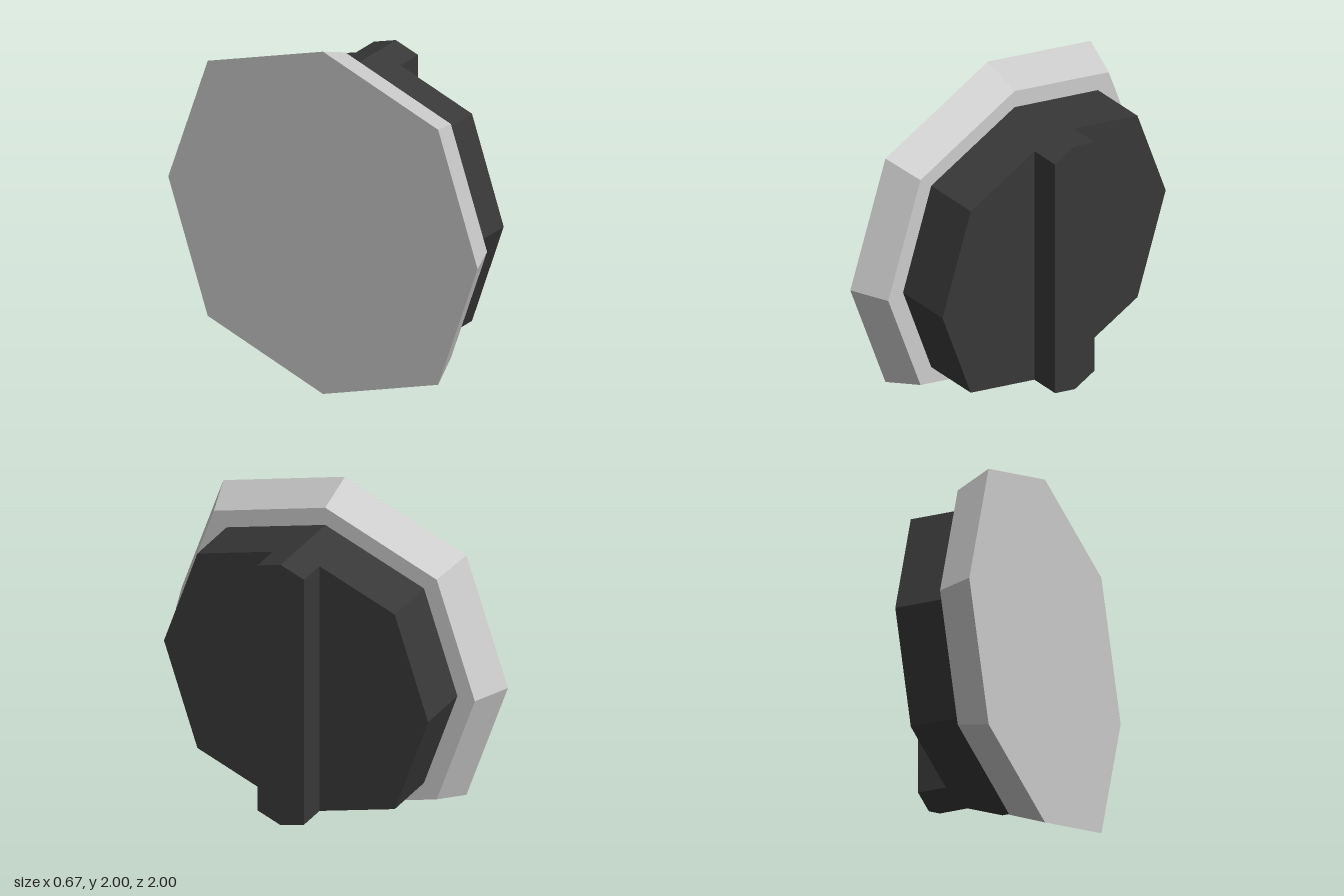
import * as THREE from 'three';

const grey = new THREE.MeshStandardMaterial({ color: 0xcccccc, flatShading: true });
const dark = new THREE.MeshStandardMaterial({ color: 0x383838, flatShading: true });

// Eight-sided outline: four points on the axes, four on the diagonals
function octagon(axis, diag) {
  return Array.from({ length: 8 }, (_, i) => {
    const a = (i * Math.PI) / 4;
    const r = i % 2 ? diag * Math.SQRT2 : axis;
    return new THREE.Vector2(r * Math.cos(a), r * Math.sin(a));
  });
}

// Extrudes an outline along +x from x0 to x1, scaling the far end by taper
function slab(name, points, x0, x1, material, taper = 1) {
  const geo = new THREE.ExtrudeGeometry(new THREE.Shape(points), { depth: x1 - x0, bevelEnabled: false });
  const pos = geo.attributes.position;
  for (let i = 0; i < pos.count; i++) {
    if (pos.getZ(i) > (x1 - x0) / 2) pos.setXY(i, pos.getX(i) * taper, pos.getY(i) * taper);
  }
  geo.rotateY(Math.PI / 2);
  geo.translate(x0, 1, 0);
  geo.computeVertexNormals();
  const mesh = new THREE.Mesh(geo, material);
  mesh.name = name;
  return mesh;
}

export function createModel() {
  const group = new THREE.Group();
  group.name = 'dial';

  // Tapered base plate and the knob body on it
  group.add(slab('basePlate', octagon(1, 0.745), -0.335, -0.13, grey, 0.917));
  group.add(slab('knobBody', octagon(0.81, 0.605), -0.13, 0.175, dark));

  // Raised grip bar, its ends pointed like the body outline
  const w = 0.143, tip = 0.81, side = 0.762;
  const bar = [[w, -side], [w, side], [0, tip], [-w, side], [-w, -side], [0, -tip]]
    .map(([x, y]) => new THREE.Vector2(x, y));
  group.add(slab('gripBar', bar, 0.175, 0.335, dark));

  return group;
}
